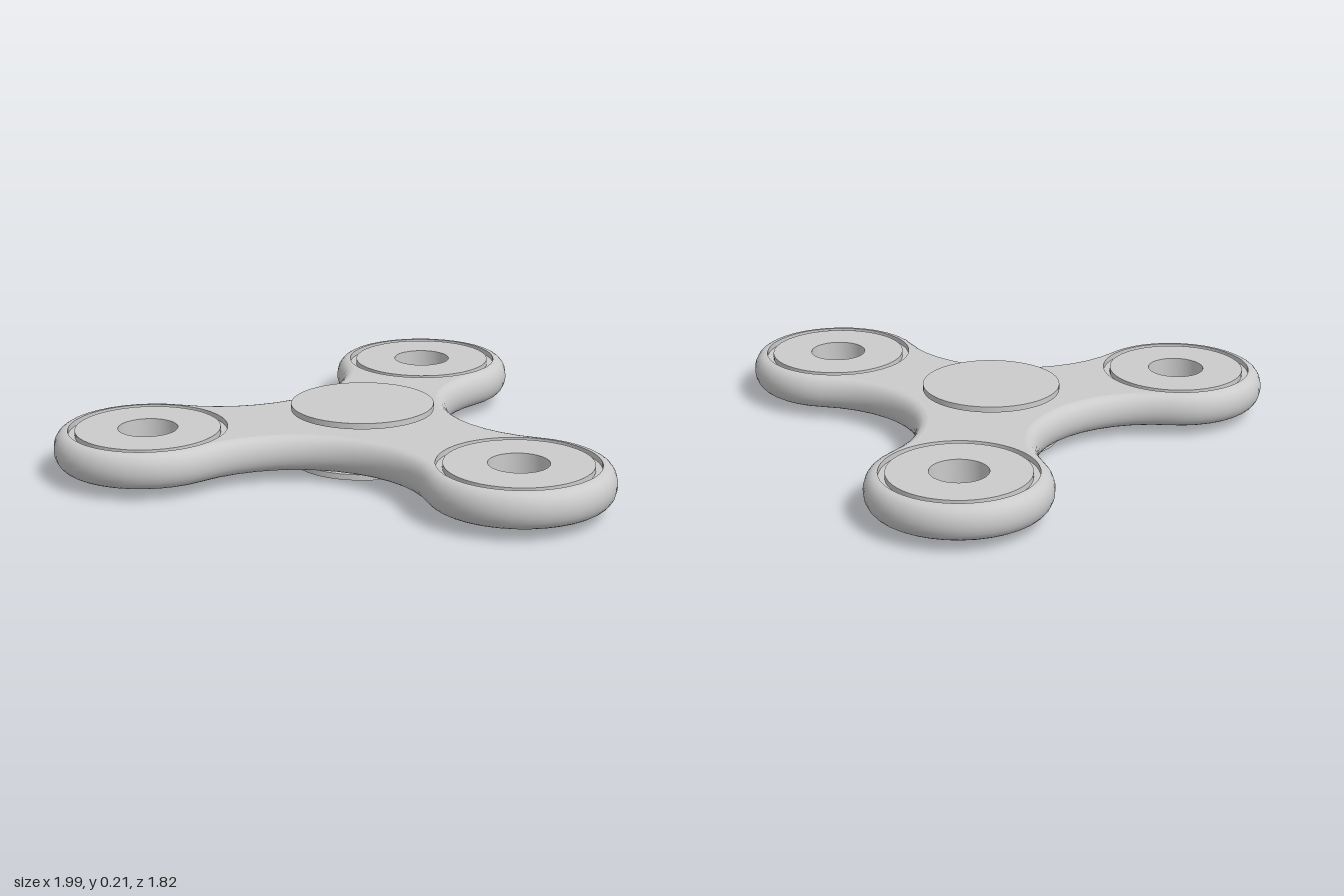
import * as THREE from 'three';
import { toCreasedNormals } from 'three/addons/utils/BufferGeometryUtils.js';

const HUB_Z = 0.19;      // hub centre
const ARM = 0.77;        // hub to lobe centre
const LOBE_R = 0.33;     // outer radius of a lobe
const NECK_R = ARM - LOBE_R; // radius of the concave fillets between lobes
const MID = 0.104, HALF = 0.064; // body mid height and half thickness
const EDGE = 0.045;      // how far the rounded edge reaches inwards
const HOLE_R = 0.279;    // seat of each bearing
const deg = Math.PI / 180;
const armAngles = [90, 210, 330];

const polar = (r, a) => new THREE.Vector2(r * Math.cos(a * deg), r * Math.sin(a * deg));
const lobeCentre = (a) => polar(ARM, a);

// Plan outline of the body, inset evenly: convex lobes joined by concave necks
function outline(inset) {
  const pts = [];
  for (const a of armAngles) {
    for (let i = 0; i < 24; i++) {
      pts.push(lobeCentre(a).add(polar(LOBE_R - inset, a - 120 + i * 10)));
    }
    for (let i = 0; i < 14; i++) {
      pts.push(polar(ARM, a + 60).add(polar(NECK_R + inset, a + 300 - i * 120 / 14)));
    }
  }
  return pts;
}

// Rounded rim: the outline swept through a half-ellipse profile
function rimGeometry() {
  const steps = 12, pos = [], index = [];
  let n = 0;
  for (let k = 0; k <= steps; k++) {
    const t = (k / steps - 0.5) * Math.PI;
    const ring = outline(EDGE * (1 - Math.cos(t)));
    n = ring.length;
    for (const p of ring) pos.push(p.x, MID + HALF * Math.sin(t), -p.y);
  }
  for (let k = 0; k < steps; k++) {
    for (let i = 0; i < n; i++) {
      const a = k * n + i, b = k * n + (i + 1) % n;
      index.push(a, b, b + n, a, b + n, a + n);
    }
  }
  const g = new THREE.BufferGeometry();
  g.setAttribute('position', new THREE.Float32BufferAttribute(pos, 3));
  g.setIndex(index);
  g.computeVertexNormals();
  return g;
}

// Flat top and bottom of the body with the bearing seats cut through
function coreGeometry() {
  const shape = new THREE.Shape(outline(EDGE));
  for (const a of armAngles) {
    const c = lobeCentre(a);
    shape.holes.push(new THREE.Path().absarc(c.x, c.y, HOLE_R, 0, Math.PI * 2, true));
  }
  const g = new THREE.ExtrudeGeometry(shape, { depth: HALF * 2, bevelEnabled: false, curveSegments: 48 });
  g.rotateX(-Math.PI / 2);
  g.translate(0, MID - HALF, 0);
  return g;
}

// Bearing ring with a shallow groove around each face
function bearingGeometry() {
  const bore = 0.105, face = 0.255, outer = HOLE_R + 0.003, groove = 0.02;
  const profile = [
    [bore, -HALF], [face, -HALF], [face, groove - HALF], [outer, groove - HALF],
    [outer, HALF - groove], [face, HALF - groove], [face, HALF], [bore, HALF], [bore, -HALF],
  ].map(([x, y]) => new THREE.Vector2(x, y));
  return toCreasedNormals(new THREE.LatheGeometry(profile, 48), 0.6);
}

export function createModel() {
  const root = new THREE.Group();
  root.name = 'spinner';
  const spinner = new THREE.Group();
  spinner.name = 'assembly';
  spinner.position.z = HUB_Z;
  root.add(spinner);

  const material = new THREE.MeshStandardMaterial({ color: 0xcccccc });
  const add = (name, geometry, x = 0, y = 0, z = 0) => {
    const mesh = new THREE.Mesh(geometry, material);
    mesh.name = name;
    mesh.position.set(x, y, z);
    spinner.add(mesh);
  };

  add('bodyRim', rimGeometry());
  add('bodyCore', coreGeometry());

  // One bearing per lobe
  const bearing = bearingGeometry();
  armAngles.forEach((a, i) => {
    const c = lobeCentre(a);
    add(['backBearing', 'rightBearing', 'leftBearing'][i], bearing, c.x, MID, -c.y);
  });

  // Hub axle and the two finger caps
  add('axle', new THREE.CylinderGeometry(0.1, 0.1, 0.17, 48), 0, MID, 0);
  const cap = new THREE.CylinderGeometry(0.255, 0.255, 0.021, 64);
  add('bottomCap', cap, 0, 0.0105, 0);
  add('topCap', cap, 0, 2 * MID - 0.0105, 0);

  return root;
}
